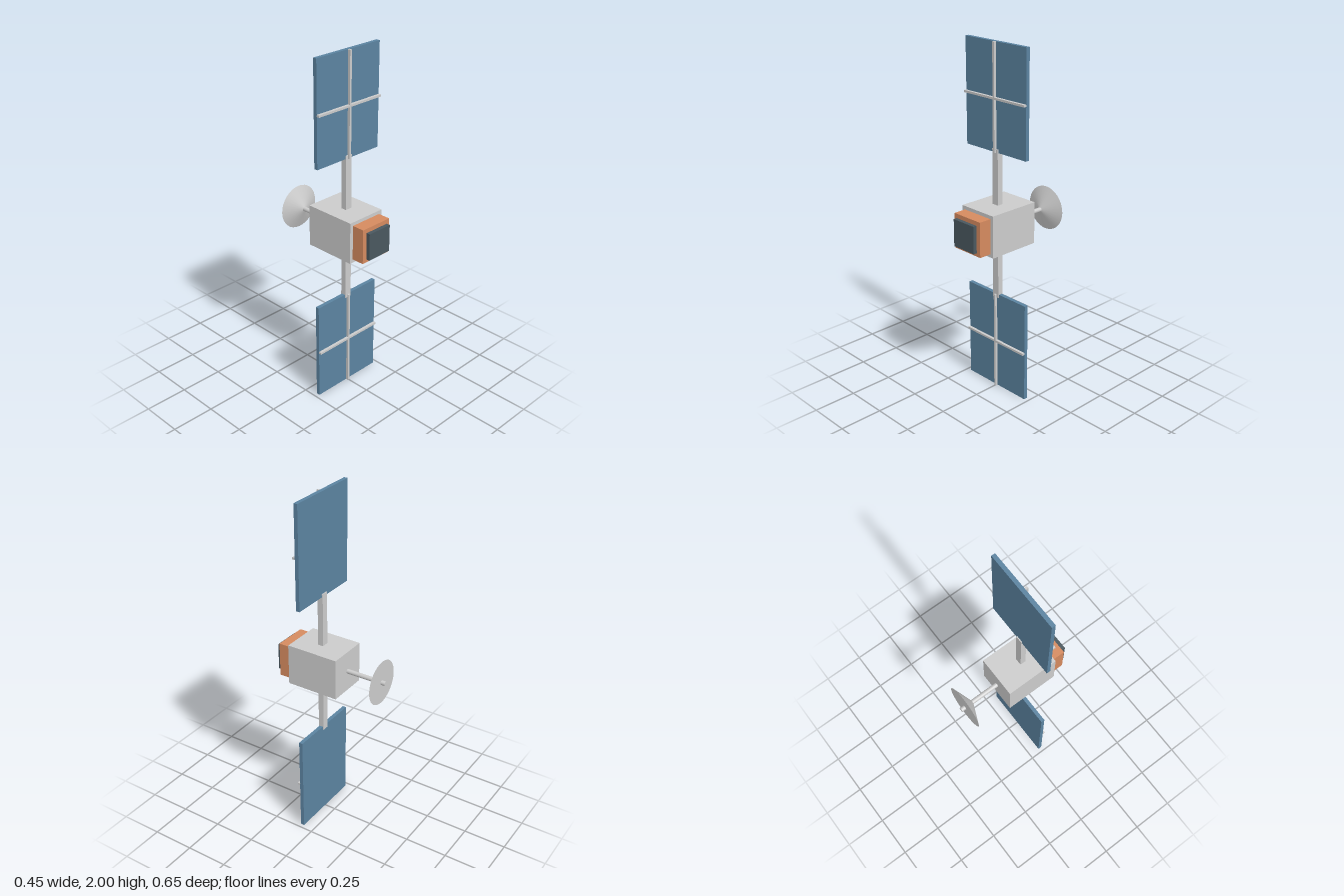
import * as THREE from 'three';

const mat = (color) => new THREE.MeshStandardMaterial({ color });

export function createModel() {
  const model = new THREE.Group();
  const grey = mat(0xcccccc);
  const orange = mat(0xd58a5f);
  const dark = mat(0x4a585f);
  const blue = mat(0x5b83a0);

  const add = (parent, name, geometry, material) => {
    const mesh = new THREE.Mesh(geometry, material);
    mesh.name = name;
    parent.add(mesh);
    return mesh;
  };
  // Box centred on x = 0, given its width and its y and z ranges
  const box = (parent, name, width, y0, y1, z0, z1, material) => {
    const mesh = add(parent, name, new THREE.BoxGeometry(width, y1 - y0, z1 - z0), material);
    mesh.position.set(0, (y0 + y1) / 2, (z0 + z1) / 2);
  };

  // Central body with the instrument housing and its front plate
  box(model, 'body', 0.24, 0.88, 1.12, -0.085, 0.225, grey);
  box(model, 'instrumentHousing', 0.2, 0.9, 1.1, 0.225, 0.299, orange);
  box(model, 'frontPlate', 0.155, 0.922, 1.078, 0.303, 0.325, dark);

  // Upper and lower solar wings, the lower one turned half a turn about z
  for (const [name, angle] of [['upperWing', 0], ['lowerWing', Math.PI]]) {
    const wing = new THREE.Group();
    wing.name = name;
    wing.position.y = 1;
    wing.rotation.z = angle;
    box(wing, 'boom', 0.042, 0.12, 0.433, 0.062, 0.095, grey);
    box(wing, 'solarPanel', 0.45, 0.414, 1, 0.068, 0.09, blue);
    box(wing, 'verticalRib', 0.012, 0.414, 1, 0.089, 0.105, grey);
    box(wing, 'horizontalRib', 0.45, 0.701, 0.713, 0.089, 0.106, grey);
    model.add(wing);
  }

  // Antenna mast and cone dish opening to the rear
  const mast = add(model, 'antennaMast', new THREE.CylinderGeometry(0.013, 0.013, 0.247, 20), grey);
  mast.rotation.x = Math.PI / 2;
  mast.position.set(0, 1, -0.2035);
  const dish = add(model, 'antennaDish', new THREE.CylinderGeometry(0.01, 0.128, 0.05, 32), grey);
  dish.rotation.x = Math.PI / 2;
  dish.position.set(0, 1, -0.276);

  return model;
}
